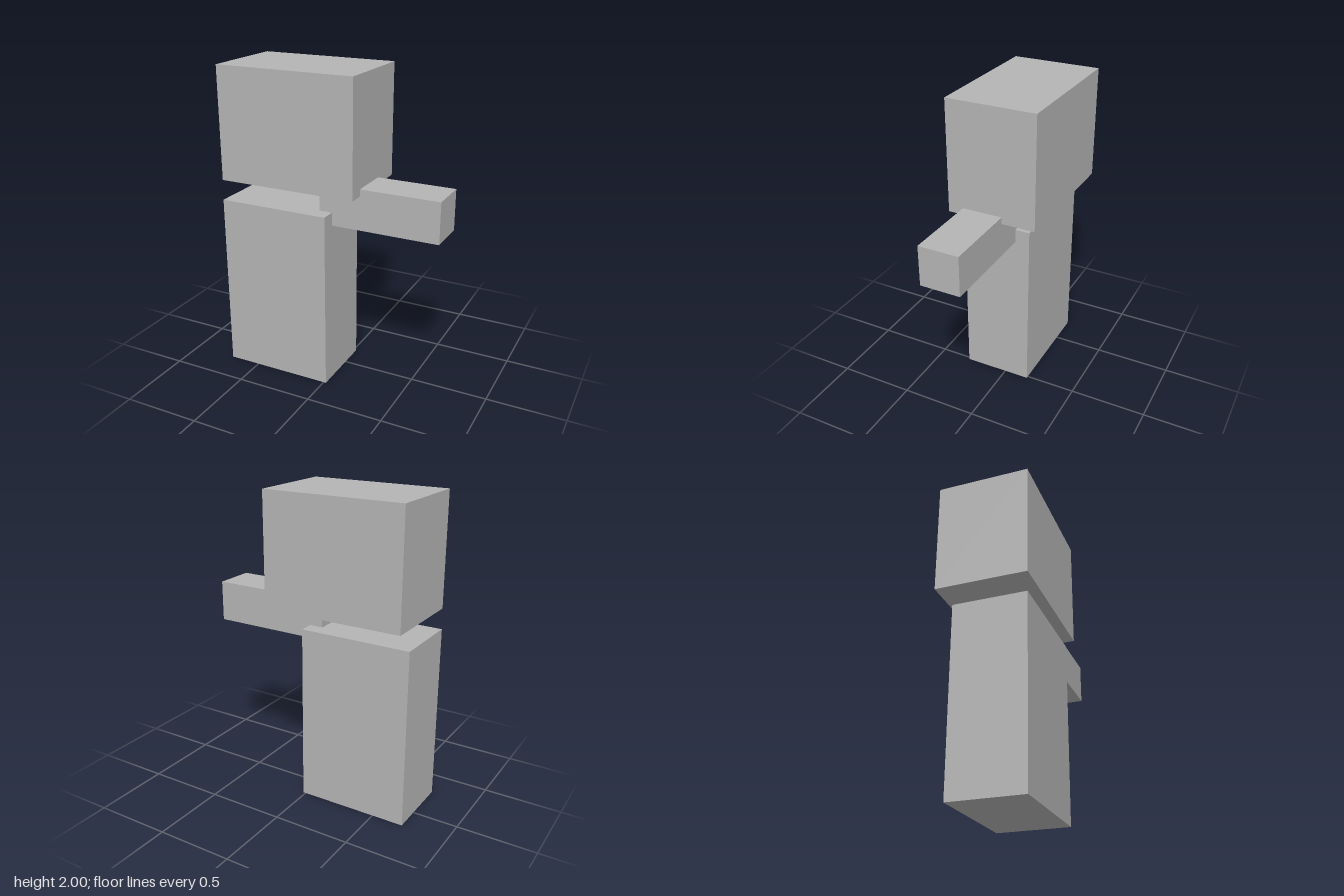
import * as THREE from 'three';

export function createModel() {
  const group = new THREE.Group();
  const grey = new THREE.MeshStandardMaterial({ color: 0xb4b4b4 });
  grey.name = 'grey';

  // Adds a box spanning two opposite corners
  const addBox = (name, [x0, y0, z0], [x1, y1, z1]) => {
    const mesh = new THREE.Mesh(new THREE.BoxGeometry(x1 - x0, y1 - y0, z1 - z0), grey);
    mesh.position.set((x0 + x1) / 2, (y0 + y1) / 2, (z0 + z1) / 2);
    mesh.name = name;
    group.add(mesh);
  };

  // Tall lower block
  addBox('lowerBlock', [-0.706, 0, -0.167], [0.017, 1.148, 0.288]);
  // Side bar, cutting into both blocks
  addBox('sideBar', [-0.068, 1.064, -0.072], [0.706, 1.324, 0.189]);
  // Wide upper block
  addBox('upperBlock', [-0.702, 1.28, -0.288], [0.203, 2, 0.288]);

  return group;
}
